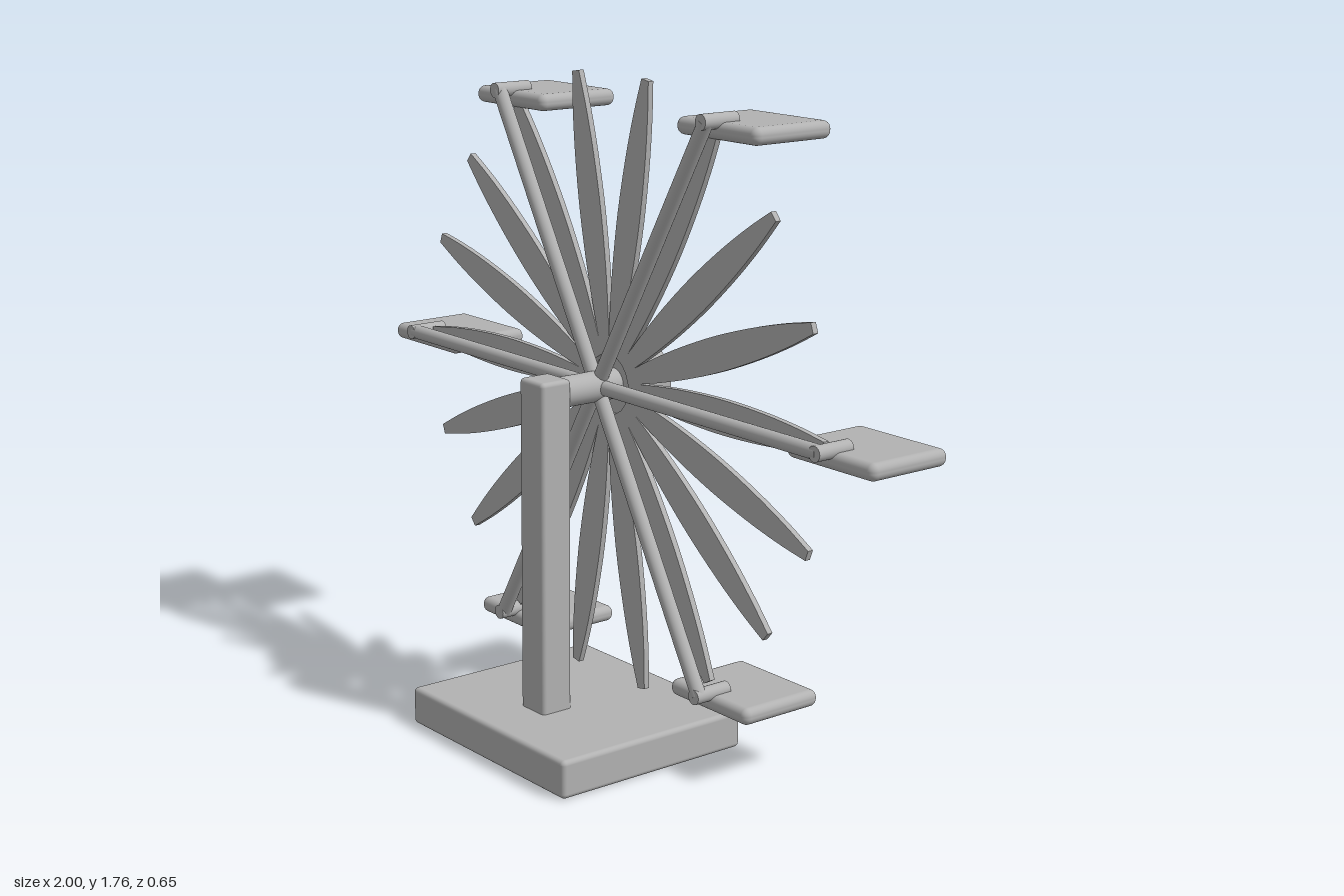
import * as THREE from 'three';
import { RoundedBoxGeometry } from 'three/addons/geometries/RoundedBoxGeometry.js';

const AXLE_Y = 0.955;
const ARM_LENGTH = 0.848;
const ARM_Z = -0.045;

export function createModel() {
  const model = new THREE.Group();
  model.name = 'ferrisWheel';
  const grey = new THREE.MeshStandardMaterial({ color: 0xb2b2b2 });
  grey.name = 'plain grey';

  const add = (name, geometry, x, y, z, parent = model) => {
    const mesh = new THREE.Mesh(geometry, grey);
    mesh.name = name;
    mesh.position.set(x, y, z);
    parent.add(mesh);
    return mesh;
  };
  const rod = (radius, length, segments = 32) =>
    new THREE.CylinderGeometry(radius, radius, length, segments).rotateX(Math.PI / 2);

  // Stand: square base and upright post
  add('base', new RoundedBoxGeometry(0.675, 0.103, 0.59, 3, 0.013), 0, 0.0515, 0.03);
  add('post', new RoundedBoxGeometry(0.1, 0.92, 0.095, 3, 0.012), 0, 0.54, 0.124);

  // Axle and rear hub drum
  add('axle', rod(0.041, 0.36), 0, AXLE_Y, -0.08);
  add('hub', rod(0.11, 0.105, 48), 0, AXLE_Y, -0.153);

  // Lens-shaped flat blades with blunt tips
  const halfWidths = [[0.08, 0.016], [0.2, 0.031], [0.32, 0.041], [0.46, 0.045],
    [0.6, 0.04], [0.72, 0.029], [0.82, 0.014]];
  const upper = new THREE.SplineCurve(halfWidths.map(([r, w]) => new THREE.Vector2(r, w))).getPoints(24);
  const lower = upper.map((p) => new THREE.Vector2(p.x, -p.y)).reverse();
  const bladeGeometry = new THREE.ExtrudeGeometry(new THREE.Shape([...lower, ...upper]),
    { depth: 0.016, bevelEnabled: false });
  const blades = new THREE.Group();
  blades.name = 'blades';
  blades.position.set(0, AXLE_Y, -0.1);
  model.add(blades);
  for (let i = 0; i < 18; i++) {
    add('blade', bladeGeometry, 0, 0, 0, blades).rotation.z = (i * Math.PI) / 9;
  }

  // Six arms, each with a pin that carries a level seat
  const armGeometry = new THREE.CylinderGeometry(0.02, 0.02, ARM_LENGTH, 24)
    .rotateZ(-Math.PI / 2).translate(ARM_LENGTH / 2, 0, 0);
  const pinGeometry = rod(0.02, 0.11, 24);
  const seatGeometry = new RoundedBoxGeometry(0.302, 0.045, 0.252, 4, 0.02);
  for (let i = 0; i < 6; i++) {
    const angle = (i * Math.PI) / 3;
    const x = Math.cos(angle) * ARM_LENGTH;
    const y = AXLE_Y + Math.sin(angle) * ARM_LENGTH;
    add('arm', armGeometry, 0, AXLE_Y, ARM_Z).rotation.z = angle;
    add('seatPin', pinGeometry, x, y, -0.082);
    add('seat', seatGeometry, x, y - 0.025, -0.198);
  }
  return model;
}
